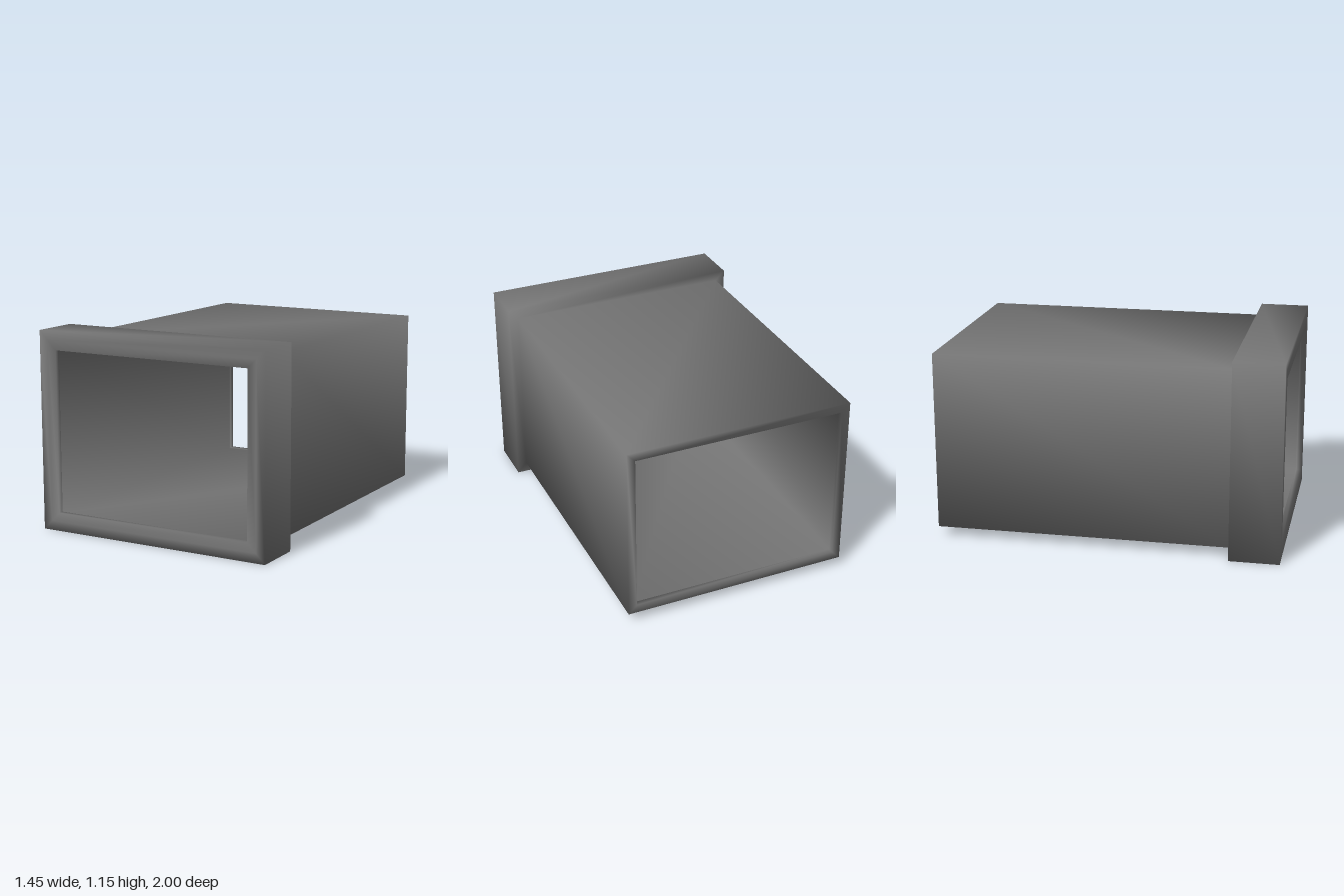
import * as THREE from 'three';

const HALF_W = 0.7225, HALF_H = 0.5775;

// Wall profile as [inset from collar outline, z], run once around the wall section
const PROFILE = [
  [0, 1], [0.055, 1], [0.1075, 1],           // front rim
  [0.1075, 0.97], [0.1, 0.965],              // front inner lip
  [0.1, -0.965], [0.1075, -0.97],            // inside wall and rear lip
  [0.1075, -1], [0.0575, -1],                // rear rim
  [0.0575, 0.71], [0, 0.71],                 // outer wall, step up to collar
];
const CORNERS = [[-1, -1], [1, -1], [1, 1], [-1, 1]];

// Sweeps the wall profile around the rectangle with shared, smooth vertices
function rectangularRing(profile) {
  const positions = [], index = [];
  for (const [inset, z] of profile) {
    for (const [sx, sy] of CORNERS) {
      positions.push(sx * (HALF_W - inset), HALF_H + sy * (HALF_H - inset), z);
    }
  }
  const n = profile.length;
  for (let i = 0; i < n; i++) {
    const next = (i + 1) % n;
    for (let j = 0; j < 4; j++) {
      const k = (j + 1) % 4;
      const a = i * 4 + j, b = i * 4 + k, c = next * 4 + k, d = next * 4 + j;
      index.push(a, b, c, a, c, d);
    }
  }
  const geometry = new THREE.BufferGeometry();
  geometry.setAttribute('position', new THREE.Float32BufferAttribute(positions, 3));
  geometry.setIndex(index);
  geometry.computeVertexNormals();
  return geometry;
}

export function createModel() {
  const group = new THREE.Group();
  group.name = 'duct';

  const grey = new THREE.MeshStandardMaterial({ color: 0x757575 });
  grey.name = 'grey';

  // Hollow rectangular duct with a thicker collar at the front
  const duct = new THREE.Mesh(rectangularRing(PROFILE), grey);
  duct.name = 'collaredDuct';
  group.add(duct);

  return group;
}
